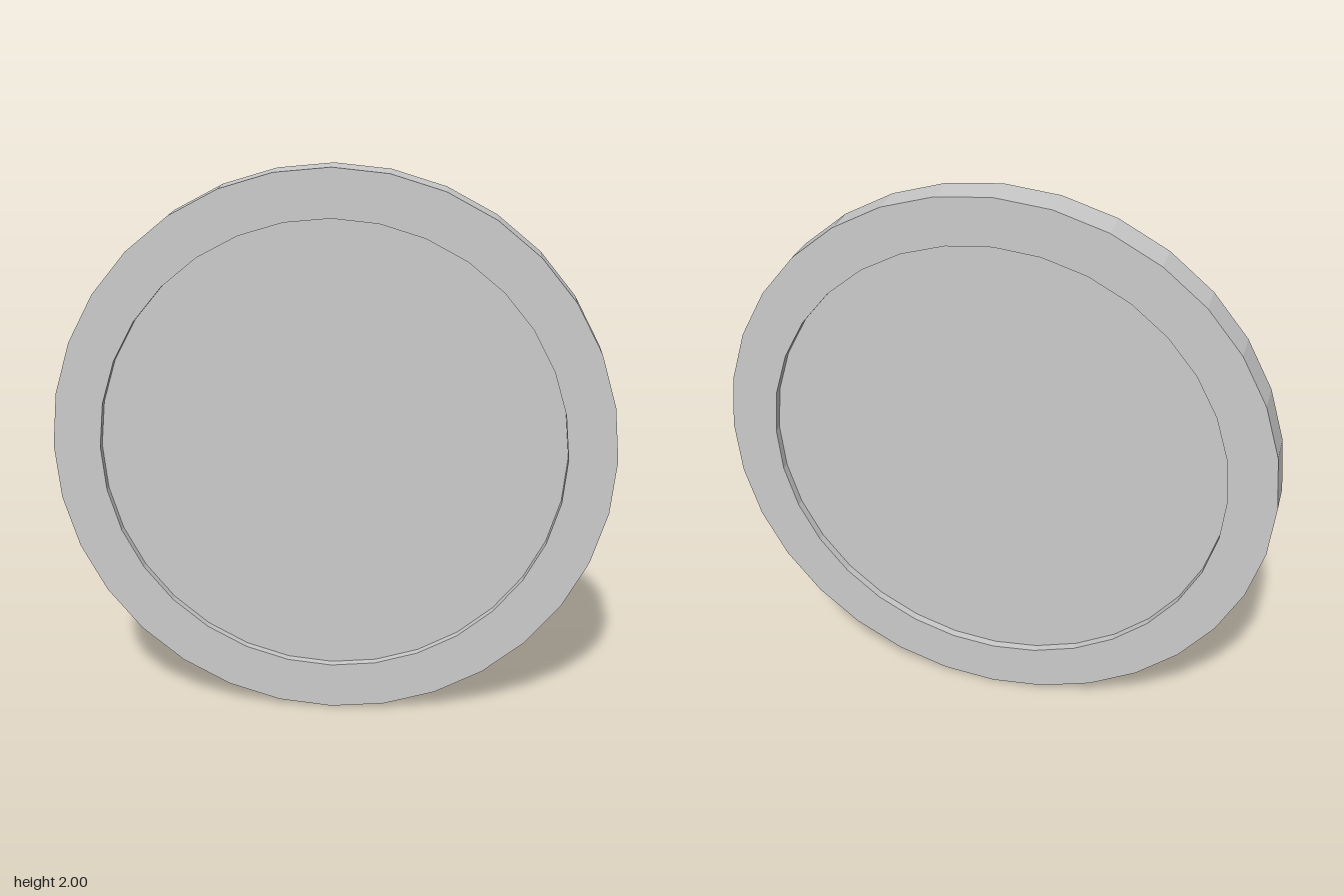
import * as THREE from 'three';

const SIDES = 32;
const OUTER = 1;
const INNER = 0.83;
const HALF = 0.063; // half thickness of the rim
const FACE = 0.033; // distance of the recessed faces from the middle

export function createModel() {
  const group = new THREE.Group();
  group.name = 'coin';
  const material = new THREE.MeshStandardMaterial({ color: 0xcccccc, flatShading: true });

  // Raised rim with the short inner walls down to both faces
  const profile = [
    [INNER, -FACE], [INNER, -HALF], [OUTER, -HALF],
    [OUTER, HALF], [INNER, HALF], [INNER, FACE],
  ].map(([r, h]) => new THREE.Vector2(r, h));
  const rim = new THREE.Mesh(new THREE.LatheGeometry(profile, SIDES), material);
  rim.name = 'rim';
  rim.rotation.x = Math.PI / 2;
  rim.position.y = OUTER;
  group.add(rim);

  // Recessed front and back faces
  for (const side of [1, -1]) {
    const face = new THREE.Mesh(new THREE.CircleGeometry(INNER, SIDES), material);
    face.name = side > 0 ? 'frontFace' : 'backFace';
    face.rotation.y = side > 0 ? 0 : Math.PI;
    face.position.set(0, OUTER, side * FACE);
    group.add(face);
  }

  return group;
}
